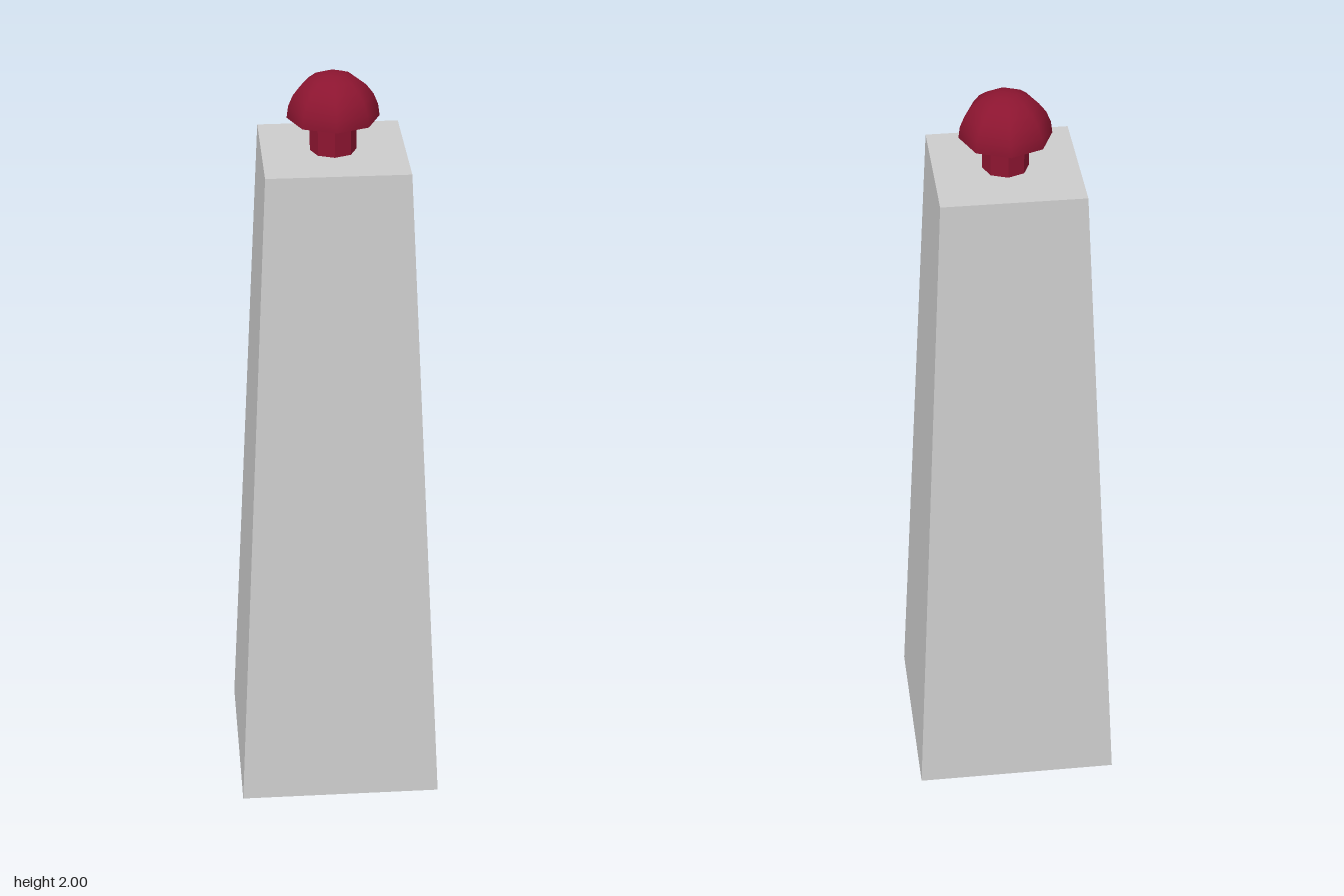
import * as THREE from 'three';

export function createModel() {
  const group = new THREE.Group();
  const grey = new THREE.MeshStandardMaterial({ color: 0xcccccc, flatShading: true });
  const red = new THREE.MeshStandardMaterial({ color: 0x8c1530, side: THREE.DoubleSide });
  const redFlat = new THREE.MeshStandardMaterial({ color: 0x8c1530, flatShading: true });

  function add(name, geometry, material, y) {
    const mesh = new THREE.Mesh(geometry, material);
    mesh.name = name;
    mesh.position.y = y;
    group.add(mesh);
  }

  // Tapered square pillar: a four-sided cylinder turned to face the axes
  const bottomHalf = 0.268, topHalf = 0.182, height = 1.795;
  const pillar = new THREE.CylinderGeometry(topHalf * Math.SQRT2, bottomHalf * Math.SQRT2, height, 4);
  pillar.rotateY(Math.PI / 4);
  add('pillar', pillar, grey, height / 2);

  // Octagonal button stem
  const domeBase = 1.883;
  add('buttonStem', new THREE.CylinderGeometry(0.059, 0.059, domeBase - height + 0.02, 8),
    redFlat, (domeBase + height) / 2);

  // Smooth-shaded eight-sided half dome, open underneath
  add('buttonDome', new THREE.SphereGeometry(0.117, 8, 6, 0, Math.PI * 2, 0, Math.PI / 2), red, domeBase);

  return group;
}
